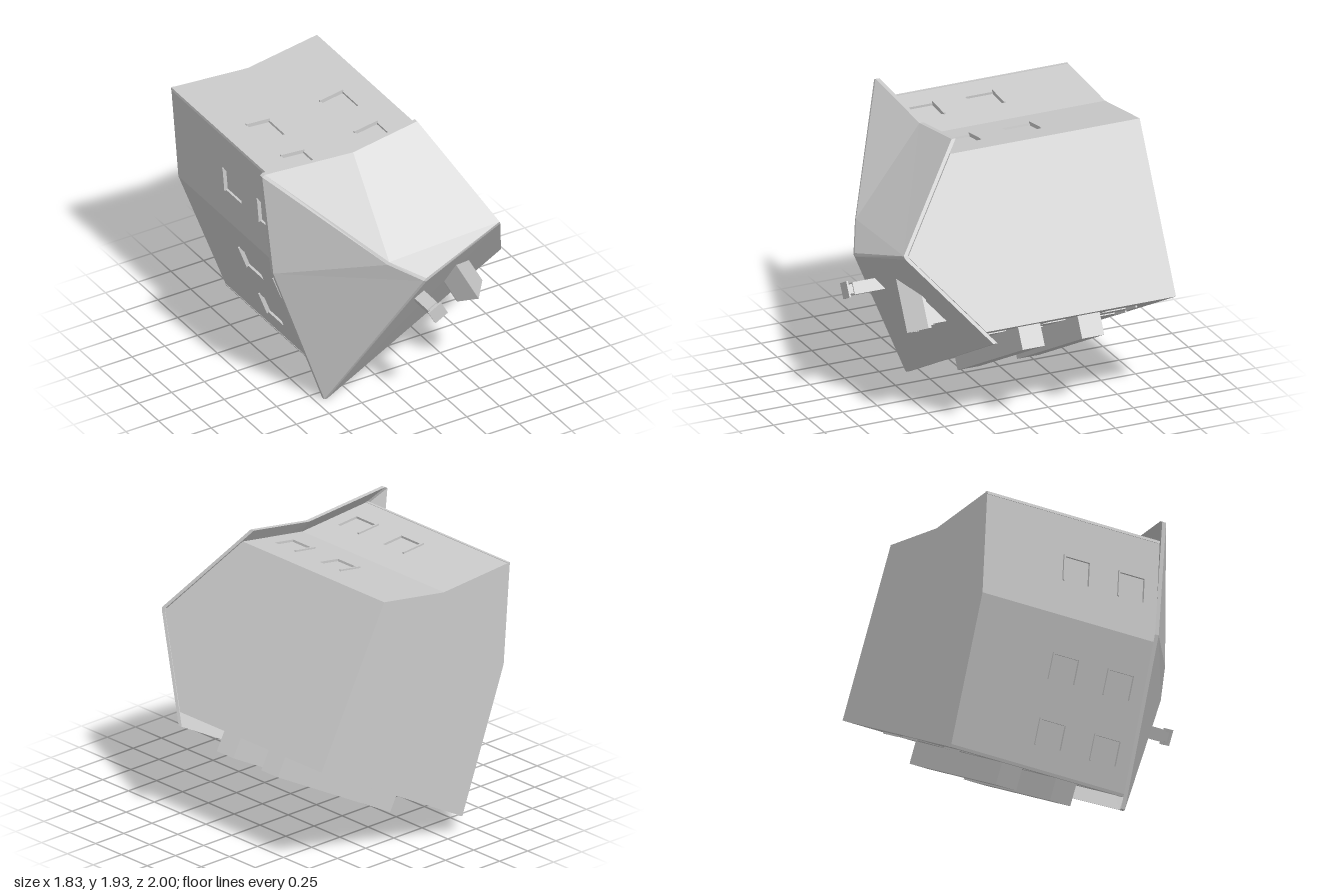
import * as THREE from 'three';

const plaster = new THREE.MeshStandardMaterial({ color: 0xcccccc });

function add(parent, name, geometry, x = 0, y = 0, z = 0) {
  const mesh = new THREE.Mesh(geometry, plaster);
  mesh.name = name;
  mesh.position.set(x, y, z);
  parent.add(mesh);
  return mesh;
}

const box = (w, h, d) => new THREE.BoxGeometry(w, h, d);
const polygon = (pts) => new THREE.Shape(pts.map(([x, y]) => new THREE.Vector2(x, y)));
const extrude = (shape, depth) => new THREE.ExtrudeGeometry(shape, { depth, bevelEnabled: false });

// Wall panel from p to q (house height runs along z) with recessed windows [centre, bottom, top]
function wall(parent, name, p, q, windows, apex) {
  const dx = q[0] - p[0], dy = q[1] - p[1], len = Math.hypot(dx, dy);
  const panel = new THREE.Group();
  panel.name = name;
  panel.position.set(p[0], p[1], -1);
  const along = new THREE.Vector3(dx / len, dy / len, 0);
  const up = new THREE.Vector3(0, 0, 1);
  panel.setRotationFromMatrix(new THREE.Matrix4().makeBasis(along, up, along.clone().cross(up)));
  const shape = polygon([[0, 0], [len, 0], [len, 1.37], ...(apex ? [apex] : []), [0, 1.37]]);
  const w = 0.0825;
  for (const [s, z0, z1] of windows) {
    const a = z0 + 1, b = z1 + 1;
    shape.holes.push(polygon([[s - w, a], [s - w, b], [s + w, b], [s + w, a]]));
    add(panel, 'windowPane', box(2 * w + 0.01, b - a + 0.01, 0.006), s, (a + b) / 2, -0.019);
    add(panel, 'windowSill', box(2 * w + 0.015, 0.012, 0.016), s, a - 0.004, 0.004);
  }
  add(panel, name + 'Panel', extrude(shape, 0.02), 0, 0, -0.02);
  parent.add(panel);
}

// Thin roof shell: top faces, the same faces set back in z, and a rim around the outline
function roofGeometry(v, faces, outline, thickness) {
  const pos = [];
  const tri = (a, b, c) => pos.push(...a, ...b, ...c);
  const low = ([x, y, z]) => [x, y, z - thickness];
  for (const keys of faces) {
    const f = [...keys.split(' ')].map((k) => v[k]);
    for (let i = 1; i < f.length - 1; i++) {
      tri(f[0], f[i], f[i + 1]);
      tri(low(f[0]), low(f[i + 1]), low(f[i]));
    }
  }
  const loop = outline.split(' ').map((k) => v[k]);
  loop.forEach((a, i) => {
    const b = loop[(i + 1) % loop.length];
    tri(a, low(a), low(b));
    tri(a, low(b), b);
  });
  const g = new THREE.BufferGeometry();
  g.setAttribute('position', new THREE.Float32BufferAttribute(pos, 3));
  g.computeVertexNormals();
  return g;
}

export function createModel() {
  const house = new THREE.Group();
  house.name = 'house';

  // Walls around the six-sided plan
  const plan = {
    F: [-0.378, 0.135], E: [0.87, 0.805], C: [0.314, 1.857],
    B: [-0.215, 1.775], A: [-0.8, 1.82], G: [-0.745, 1.11],
  };
  const upper = [0.065, 0.265], lower = [-0.37, -0.17], ground = [-0.8, -0.6];
  const rows = (s) => [[s, ...upper], [s, ...lower]];
  wall(house, 'balconyWall', plan.F, plan.E, [
    ...rows(0.306), [0.306, ...ground], ...rows(0.706), [0.706, -0.89, -0.6],
    ...rows(1.106), [1.106, ...ground],
  ]);
  wall(house, 'gableWall', plan.E, plan.C, [], [0.577, 1.81]);
  wall(house, 'rearWallLeft', plan.C, plan.B, rows(0.272));
  wall(house, 'rearWallRight', plan.B, plan.A, rows(0.303));
  wall(house, 'sideWallUpper', plan.A, plan.G, rows(0.377));
  wall(house, 'sideWallLower', plan.G, plan.F, [...rows(0.34), ...rows(0.78)]);
  add(house, 'floor', extrude(polygon(Object.values(plan)), 0.01), 0, 0, -1);

  // Hipped roof; doubled points make the narrow ridge and hip strips
  const v = {
    A: [-0.915, 1.9, 0.34], a: [-0.895, 1.912, 0.34], B: [-0.22, 1.862, 0.34],
    C: [0.27, 1.94, 0.34], D: [0.597, 1.325, 0.84], d: [0.607, 1.303, 0.832],
    E: [0.91, 0.73, 0.34], f: [-0.42, 0.01, 0.34], F: [-0.44, 0.012, 0.34],
    G: [-0.83, 1.12, 0.34], P: [-0.005, 1.125, 0.91], p: [-0.005, 1.1, 0.91],
    R: [-0.025, 1.11, 0.91], Q: [-0.235, 1.245, 0.8], q: [-0.222, 1.262, 0.8],
  };
  const faces = ['f E d p', 'p d D P', 'F f p R', 'R p P', 'R P q Q', 'Q q a A',
    'G F R Q', 'A G Q', 'a q B', 'q P D', 'B q D C'];
  add(house, 'roof', roofGeometry(v, faces, 'F f E d D C B a A G', 0.03));

  // Frame aligned with the balcony wall: x along it, y into the house
  const frame = new THREE.Group();
  frame.name = 'alignedParts';
  frame.rotation.z = Math.atan2(0.473, 0.881);
  house.add(frame);

  // Long balconies
  for (const z of [0, -0.43]) add(frame, 'balcony', box(1.131, 0.153, 0.16), 0.4315, 0.2225, z);

  // Chimney: stack, neck and cap
  for (const [name, w, z0, z1] of [
    ['chimneyStack', 0.082, 0.68, 0.953], ['chimneyNeck', 0.062, 0.95, 0.99], ['chimneyCap', 0.108, 0.988, 1],
  ]) add(frame, name, box(w, w, z1 - z0), 0.45, 0.77, (z0 + z1) / 2);

  // Dormer: pitched roof over a small walled box with a window
  const dormer = new THREE.Group();
  dormer.name = 'dormer';
  dormer.position.set(0.767, 0.405, 0);
  dormer.rotation.x = Math.PI / 2;
  frame.add(dormer);
  const gable = polygon([[-0.085, 0.49], [0.085, 0.49], [0.085, 0.66], [0, 0.745], [-0.085, 0.66]]);
  gable.holes.push(polygon([[-0.06, 0.535], [-0.06, 0.64], [0.06, 0.64], [0.06, 0.535]]));
  add(dormer, 'dormerWalls', extrude(gable, 0.17), 0, 0, -0.195);
  add(dormer, 'dormerPane', box(0.125, 0.11, 0.006), 0, 0.5875, -0.045);

  // Dormer roof slopes run back until they meet the main roof
  const chevron = polygon([[-0.108, 0.63], [0, 0.74], [0.108, 0.63], [0.108, 0.652], [0, 0.762], [-0.108, 0.652]]);
  const cover = extrude(chevron, 0.37);
  const c = cover.attributes.position;
  for (let i = 0; i < c.count; i++) {
    if (c.getZ(i) < 0.1) c.setZ(i, 0.37 - 0.245 - (c.getY(i) - 0.65) * 1.2);
  }
  cover.computeVertexNormals();
  add(dormer, 'dormerRoof', cover, 0, 0, -0.37);

  return house;
}
